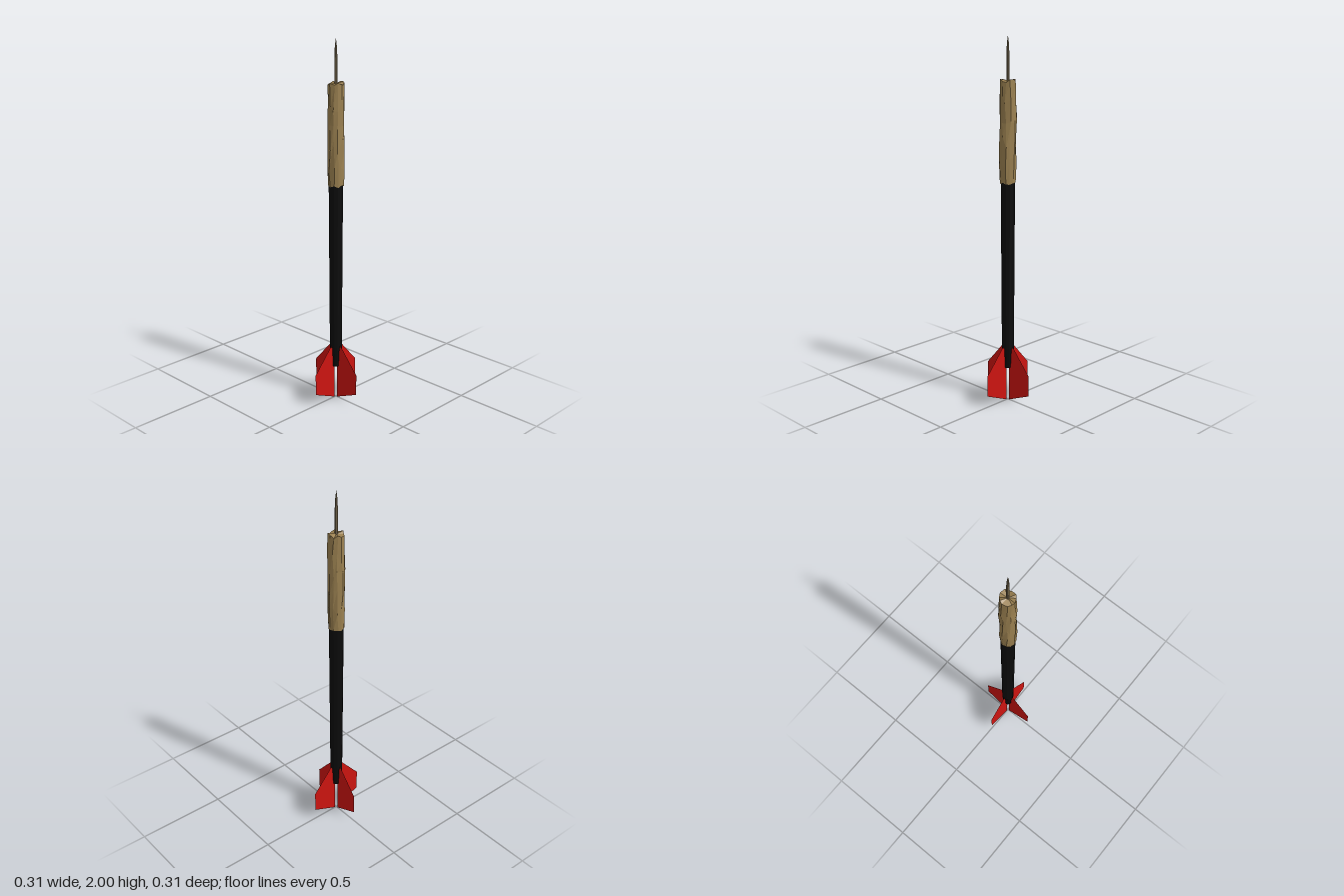
import * as THREE from 'three';

const mat = (color, extra = {}) =>
  new THREE.MeshStandardMaterial({ color, flatShading: true, ...extra });

function addMesh(parent, name, geometry, material) {
  const mesh = new THREE.Mesh(geometry, material);
  mesh.name = name;
  parent.add(mesh);
  return mesh;
}

// Repeatable value from 0 to 1 for a pair of indices
const hash = (i, j) => {
  const s = Math.sin(i * 12.9898 + j * 78.233 + 1.7) * 43758.5453;
  return s - Math.floor(s);
};

// Rough carved cylinder: each vertex is shifted a little in radius and height
function carvedBarrel(bottom, top) {
  const sides = 12, rows = 5;
  const geo = new THREE.CylinderGeometry(0.045, 0.045, top - bottom, sides, rows);
  geo.translate(0, (top + bottom) / 2, 0);
  const pos = geo.attributes.position;
  for (let k = 0; k < pos.count; k++) {
    const x = pos.getX(k), y = pos.getY(k), z = pos.getZ(k);
    if (Math.hypot(x, z) < 0.01) continue;
    const i = (Math.round(Math.atan2(x, z) / (2 * Math.PI) * sides) + sides) % sides;
    const j = Math.round((y - bottom) / (top - bottom) * rows);
    const end = j === 0 || j === rows;
    const r = end ? 0.039 + 0.005 * hash(i, j) : 0.0415 + 0.0065 * hash(i, j);
    const a = (i + 0.5 * (hash(i, j + 20) - 0.5)) / sides * 2 * Math.PI;
    const dy = (hash(i, j + 40) - 0.5) * (end ? 0.015 : 0.07);
    pos.setXYZ(k, r * Math.sin(a), y + dy, r * Math.cos(a));
  }
  return geo;
}

// Quarter wedge of the slotted shaft end, tapering downwards
function prongGeometry(bottom, top, rBottom, rTop, gap) {
  const shape = new THREE.Shape();
  shape.moveTo(gap, gap);
  const a0 = Math.asin(gap / rTop), a1 = Math.PI / 2 - a0;
  for (let i = 0; i <= 3; i++) {
    const a = a0 + (a1 - a0) * i / 3;
    shape.lineTo(rTop * Math.cos(a), rTop * Math.sin(a));
  }
  const geo = new THREE.ExtrudeGeometry(shape, { depth: top - bottom, bevelEnabled: false });
  geo.rotateX(Math.PI / 2);
  geo.translate(0, top, 0);
  const pos = geo.attributes.position;
  const k = (rBottom - gap) / (rTop - gap);
  for (let i = 0; i < pos.count; i++) {
    if (pos.getY(i) > (top + bottom) / 2) continue;
    pos.setX(i, gap + (pos.getX(i) - gap) * k);
    pos.setZ(i, gap + (pos.getZ(i) - gap) * k);
  }
  geo.computeVertexNormals();
  return geo;
}

export function createModel() {
  const model = new THREE.Group();
  model.name = 'dart';
  const tan = mat(0x9a8050);
  const steel = mat(0x857558);
  const black = mat(0x0b0b0b);
  const red = mat(0xcc1410, { side: THREE.DoubleSide });

  // Needle: thin rod with a pointed end
  const needle = [[0, 1.75], [0.008, 1.75], [0.008, 1.9], [0.005, 1.96], [0, 2]]
    .map(([r, y]) => new THREE.Vector2(r, y));
  addMesh(model, 'needle', new THREE.LatheGeometry(needle, 8), steel);

  addMesh(model, 'barrel', carvedBarrel(1.235, 1.77), tan);

  // Shaft with four prongs that hold the fins
  const shaft = new THREE.CylinderGeometry(0.039, 0.034, 0.935, 12);
  shaft.translate(0, 0.3125 + 0.935 / 2, 0);
  addMesh(model, 'shaft', shaft, black);
  const prong = prongGeometry(0.2, 0.3125, 0.027, 0.034, 0.006);

  // Flat fins in a cross
  const finShape = new THREE.Shape(
    [[0.01, 0.005], [0.157, 0.068], [0.157, 0.185], [0.03, 0.33], [0.01, 0.33]]
      .map(([x, y]) => new THREE.Vector2(x, y)));
  const fin = new THREE.ShapeGeometry(finShape);

  for (let i = 0; i < 4; i++) {
    addMesh(model, 'prong', prong, black).rotation.y = i * Math.PI / 2;
    addMesh(model, 'fin', fin, red).rotation.y = i * Math.PI / 2;
  }
  return model;
}
